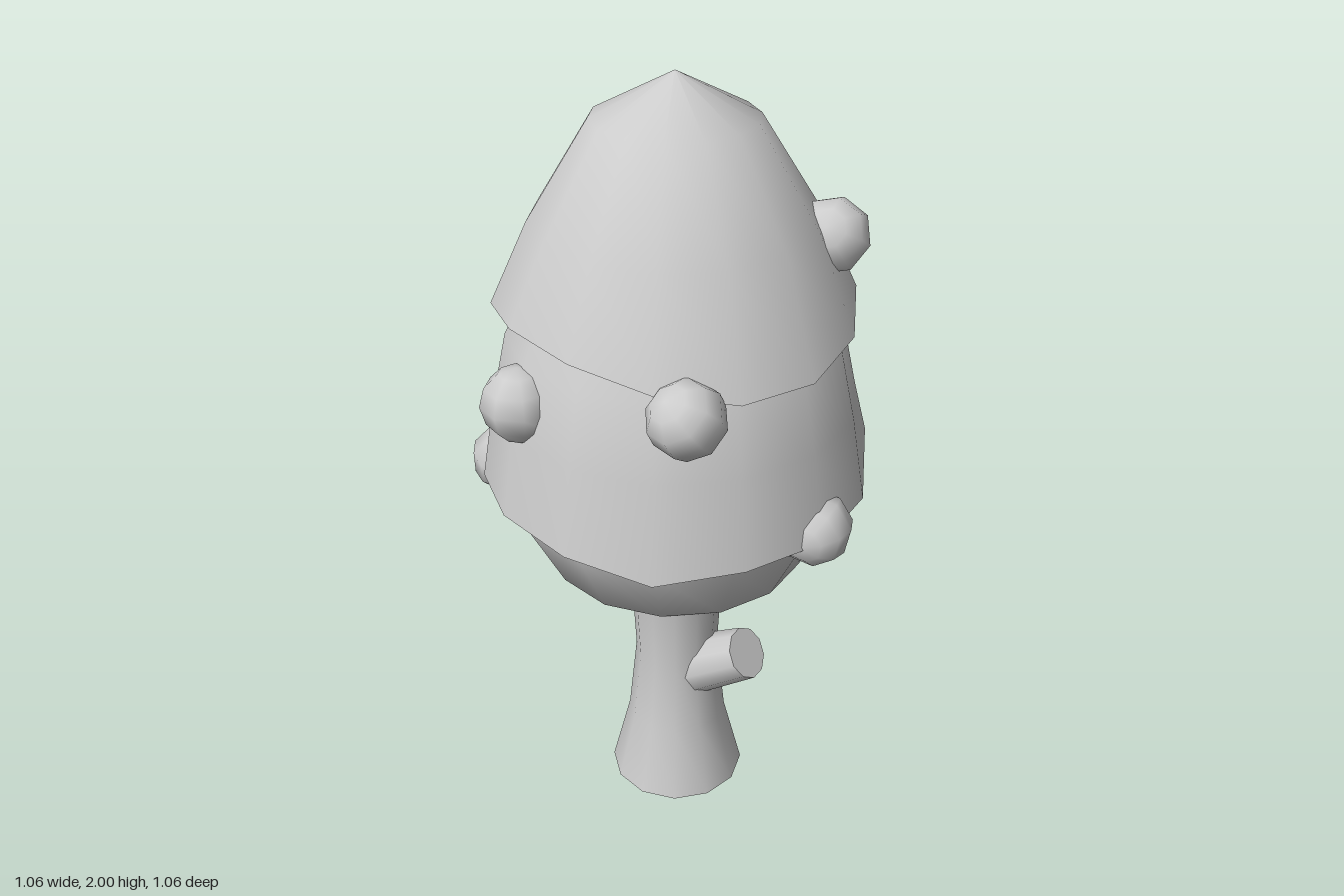
import * as THREE from 'three';

const SIDES = 14;
const AXIS_Z = 0.045;

const material = new THREE.MeshStandardMaterial({ color: 0xcccccc });
const openMaterial = new THREE.MeshStandardMaterial({ color: 0xcccccc, side: THREE.DoubleSide });

function addMesh(parent, name, geometry, mat, x = 0, y = 0, z = 0) {
  const mesh = new THREE.Mesh(geometry, mat);
  mesh.name = name;
  mesh.position.set(x, y, z);
  parent.add(mesh);
  return mesh;
}

// Profile given as [radius, y] from bottom to top
function lathe(profile, sides) {
  return new THREE.LatheGeometry(profile.map(([r, y]) => new THREE.Vector2(r, y)), sides);
}

// Leaf layer whose lowest ring follows a wavy rim height
function leafLayer(profile, rimHeight) {
  const geometry = lathe(profile, SIDES);
  const position = geometry.attributes.position;
  for (let i = 0; i <= SIDES; i++) position.setY(i * profile.length, rimHeight(i % SIDES));
  return geometry;
}

export function createModel() {
  const model = new THREE.Group();
  model.name = 'tree';

  // Flared trunk with a closed foot
  addMesh(model, 'trunk', lathe(
    [[0, 0], [0.183, 0], [0.183, 0], [0.133, 0.2], [0.111, 0.41], [0.12, 0.6], [0.13, 0.68]], 12
  ), material, 0, 0, AXIS_Z);

  // Cut branch stub on the left of the trunk
  const stub = addMesh(model, 'branchStub',
    new THREE.CylinderGeometry(0.069, 0.083, 0.22, 10), material, 0.13, 0.407, AXIS_Z);
  stub.rotation.z = -Math.atan2(0.84, 0.55);

  // Rounded crown under the leaf layers
  addMesh(model, 'crown', lathe(
    [[0, 0.605], [0.16, 0.62], [0.333, 0.75], [0.425, 0.93], [0.44, 1.05], [0.4, 1.25], [0.25, 1.45], [0, 1.5]], SIDES
  ), material, 0, 0, AXIS_Z);

  // Lower leaf layer, rim heights counted from the front towards the left
  const rim = [0.985, 0.95, 0.975, 0.975, 0.985, 1.06, 1.085, 1.045, 1.035, 1.04, 1.04, 1.025, 0.99, 1.0];
  addMesh(model, 'lowerLeaves', leafLayer(
    [[0.488, 1], [0.452, 1.2], [0.412, 1.38], [0.3, 1.6]], (k) => rim[k]
  ), openMaterial, 0, 0, AXIS_Z);

  // Pointed top layer with two waves round the rim
  addMesh(model, 'topLeaves', leafLayer(
    [[0.44, 1.43], [0.347, 1.66], [0.198, 1.897], [0, 2]],
    (k) => 1.43 + 0.052 * Math.cos(2 * (k / SIDES * Math.PI * 2 + 0.44))
  ), openMaterial, 0, 0, AXIS_Z);

  // Fruits scattered over the crown
  const fruitGeometry = new THREE.SphereGeometry(0.093, 8, 6);
  const fruits = [
    [-0.19, 1.285, 0.425], [0.255, 1.365, 0.405], [0.435, 0.985, 0.115], [-0.442, 0.94, 0.185],
    [-0.412, 1.36, 0], [0.32, 1.62, -0.13], [0.09, 1.325, -0.38], [-0.09, 0.96, -0.438],
  ];
  fruits.forEach(([x, y, z], i) => {
    const fruit = addMesh(model, 'fruit', fruitGeometry, material, x, y, z);
    fruit.rotation.set(0.5 * i, 0.9 * i, 0.3 * i);
  });

  return model;
}
